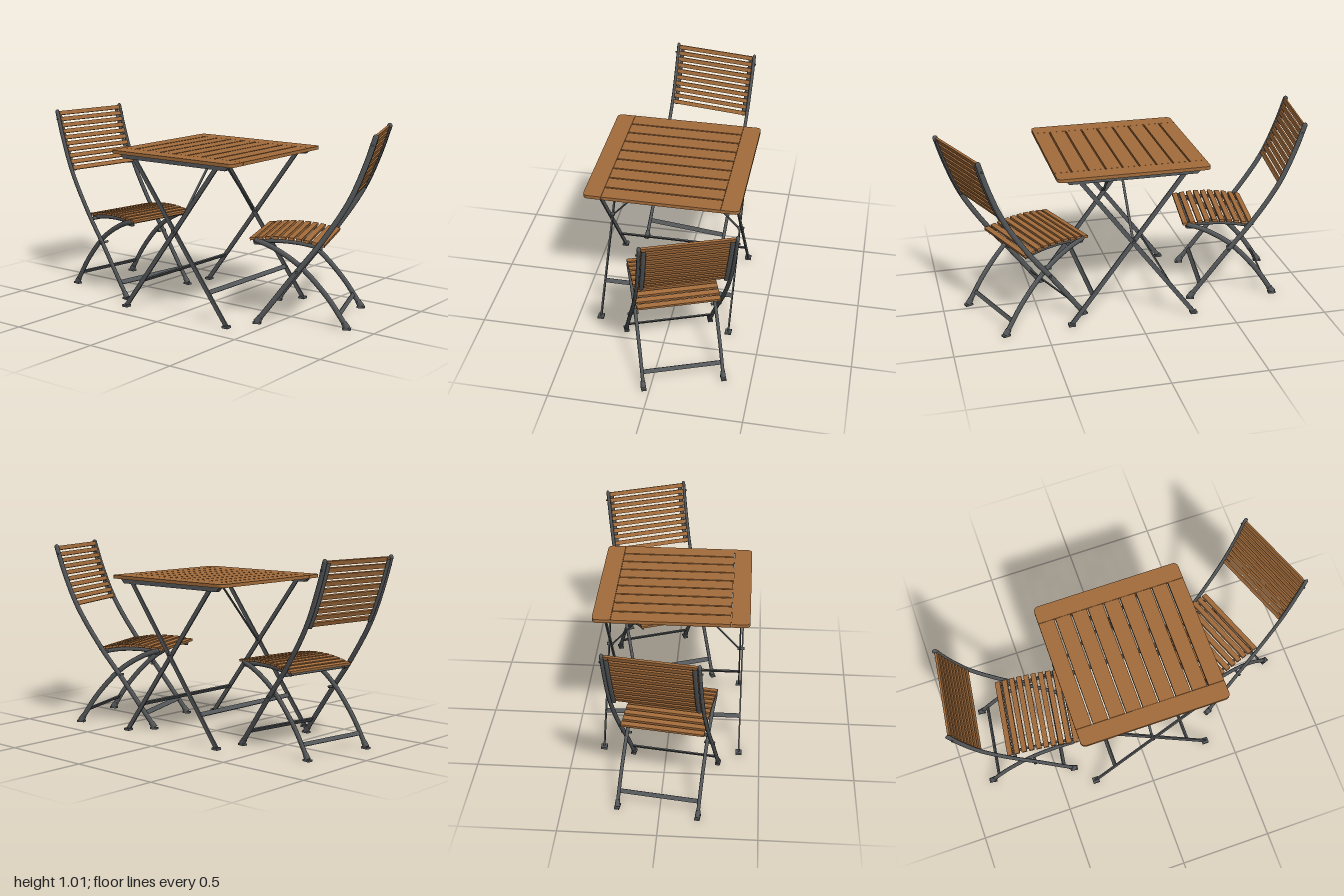
import * as THREE from 'three';

const wood = new THREE.MeshStandardMaterial({ color: 0xa36c3b });
wood.name = 'warm wood';
const metal = new THREE.MeshStandardMaterial({ color: 0x55585a });
metal.name = 'grey metal';

function add(parent, name, geometry, material, x = 0, y = 0, z = 0, tilt = 0) {
  const mesh = new THREE.Mesh(geometry, material);
  mesh.name = name;
  mesh.position.set(x, y, z);
  mesh.rotation.z = tilt;
  parent.add(mesh);
  return mesh;
}

const box = (w, h, d) => new THREE.BoxGeometry(w, h, d);
const curveOf = (points) => new THREE.CatmullRomCurve3(points.map(([x, y]) => new THREE.Vector3(x, y, 0)));

// Parameter at which a curve that falls in y reaches a given height
function atHeight(curve, y) {
  let lo = 0, hi = 1;
  for (let i = 0; i < 30; i++) {
    const mid = (lo + hi) / 2;
    if (curve.getPoint(mid).y > y) lo = mid; else hi = mid;
  }
  const p = curve.getPoint(lo), t = curve.getTangent(lo);
  return { x: p.x, y: p.y, tilt: Math.atan2(t.y, t.x) + Math.PI / 2 };
}

// Flattened tube that follows a curve in the xy plane
const ovalTube = (curve, r, flat) => new THREE.TubeGeometry(curve, 32, r, 12).scale(1, 1, flat);

function cylinderZ(r, length) {
  return new THREE.CylinderGeometry(r, r, length, 12).rotateX(Math.PI / 2);
}

// Bar between two points
function bar(parent, name, a, b, w, d) {
  const from = new THREE.Vector3(...a), dir = new THREE.Vector3(...b).sub(from);
  const mesh = add(parent, name, box(w, dir.length(), d), metal);
  mesh.position.copy(from).addScaledVector(dir, 0.5);
  mesh.quaternion.setFromUnitVectors(new THREE.Vector3(0, 1, 0), dir.normalize());
  return mesh;
}

// Folding chair: the top of the back is at x = 0 and the seat faces +x
function createChair(name) {
  const chair = new THREE.Group();
  chair.name = name;
  const post = curveOf([[0, 0.99], [0.045, 0.85], [0.125, 0.66], [0.265, 0.44], [0.40, 0.265], [0.53, 0.09], [0.588, 0.012]]);
  const leg = curveOf([[0.60, 0.435], [0.52, 0.405], [0.38, 0.32], [0.23, 0.165], [0.125, 0.012]]);
  const seat = curveOf([[0.26, 0.428], [0.38, 0.449], [0.51, 0.453], [0.62, 0.441]]);
  const strip = curveOf([0.985, 0.9, 0.82, 0.74, 0.66].map((y) => [atHeight(post, y).x - 0.008, y]));

  for (const side of [-1, 1]) {
    // Crossing frames with end caps and feet
    for (const [part, curve, z] of [['backPost', post, 0.23], ['seatLeg', leg, 0.208]]) {
      add(chair, part, ovalTube(curve, 0.014, 0.65), metal, 0, 0, side * z);
      const top = curve.getPoint(0);
      add(chair, part + 'Cap', new THREE.SphereGeometry(0.0142, 12, 8).scale(1, 1, 0.65), metal, top.x, top.y, side * z);
      const low = atHeight(curve, 0.022);
      add(chair, part + 'Foot', new THREE.CylinderGeometry(0.016, 0.019, 0.034, 12).scale(1, 1, 0.72),
        metal, low.x, low.y, side * z, low.tilt);
      add(chair, part + 'Pad', box(0.042, 0.01, 0.026), metal, curve.getPoint(1).x, 0.005, side * z);
    }
    // Flat strips carrying the slats, seat rails and rivets
    add(chair, 'backStrip', new THREE.TubeGeometry(strip, 16, 0.006, 8).scale(1, 1, 2), metal, 0, 0, side * 0.208);
    add(chair, 'seatRail', ovalTube(seat, 0.011, 0.6), metal, 0, -0.02, side * 0.188);
    const cross = atHeight(post, 0.288);
    add(chair, 'pivot', cylinderZ(0.007, 0.055), metal, cross.x, cross.y, side * 0.218);
    const rivet = atHeight(post, 0.95);
    add(chair, 'rivet', cylinderZ(0.005, 0.03), metal, rivet.x, rivet.y, side * 0.23);
    add(chair, 'seatBracket', box(0.03, 0.035, 0.012), metal, 0.595, 0.428, side * 0.198);
  }

  // Back slats
  for (let i = 0; i < 10; i++) {
    const p = atHeight(post, 0.982 - i * 0.0338);
    add(chair, 'backSlat', box(0.012, 0.023, 0.442), wood, p.x + 0.004, p.y, 0, p.tilt);
  }

  // Arched seat slats
  for (let i = 0; i < 10; i++) {
    const p = seat.getPointAt(i / 9), t = seat.getTangentAt(i / 9);
    add(chair, 'seatSlat', box(0.028, 0.014, 0.425), wood, p.x, p.y, 0, Math.atan2(t.y, t.x));
  }

  // Cross bars
  const low = atHeight(post, 0.085), rear = atHeight(leg, 0.075);
  add(chair, 'frontStretcher', box(0.007, 0.026, 0.46), metal, low.x, low.y, 0, low.tilt);
  add(chair, 'rearStretcher', box(0.007, 0.022, 0.416), metal, rear.x, rear.y, 0, rear.tilt);
  add(chair, 'seatSupport', cylinderZ(0.009, 0.46), metal, 0.285, 0.408, 0);
  add(chair, 'seatFrontBar', cylinderZ(0.006, 0.4), metal, 0.595, 0.425, 0);
  return chair;
}

// Board with two rounded outer corners, lying flat with its outer edge at +z
function endBoard(width, depth, height, r) {
  const w = width / 2;
  const shape = new THREE.Shape();
  shape.moveTo(-w, 0);
  shape.lineTo(w, 0);
  shape.lineTo(w, depth - r);
  shape.quadraticCurveTo(w, depth, w - r, depth);
  shape.lineTo(-w + r, depth);
  shape.quadraticCurveTo(-w, depth, -w, depth - r);
  shape.closePath();
  return new THREE.ExtrudeGeometry(shape, { depth: height, bevelEnabled: false, curveSegments: 6 }).rotateX(Math.PI / 2);
}

// Folding table centred on its own x and z
function createTable() {
  const table = new THREE.Group();
  table.name = 'table';
  const top = 0.854, thick = 0.018;

  // Slatted top with two end boards
  const pitch = 0.8 / 9;
  for (let i = 0; i < 9; i++) {
    const outer = i === 0 || i === 8;
    const w = pitch - (outer ? 0.004 : 0.008);
    const x = (i - 4) * pitch + (i === 0 ? -0.002 : i === 8 ? 0.002 : 0);
    add(table, 'topSlat', box(w, thick, 0.607), wood, x, top - thick / 2, 0);
  }

  for (const side of [-1, 1]) {
    const board = add(table, 'endBoard', endBoard(0.8, 0.095, thick, 0.03), wood, 0, top, side * 0.305);
    if (side < 0) board.rotation.y = Math.PI;

    // Under-top rail with sloping ends
    const rail = new THREE.Shape([[-0.36, 0.836], [-0.335, 0.811], [0.335, 0.811], [0.36, 0.836]]
      .map(([x, y]) => new THREE.Vector2(x, y)));
    add(table, 'topRail', new THREE.ExtrudeGeometry(rail, { depth: 0.028, bevelEnabled: false }),
      metal, 0, 0, side * 0.358 - 0.014);

    // Crossed legs and feet
    for (const [dir, z] of [[-1, 0.365], [1, 0.352]]) {
      bar(table, 'leg', [dir * -0.285, 0.83, side * z], [dir * 0.332, 0.008, side * z], 0.024, 0.008);
      add(table, 'foot', box(0.036, 0.012, 0.034), metal, dir * 0.333, 0.006, side * z);
    }
    add(table, 'pivot', cylinderZ(0.009, 0.036), metal, 0, 0.46, side * 0.358);

    // Thin braces from the leg pivots to the middle of the top
    bar(table, 'brace', [0, 0.46, side * 0.345], [0, 0.828, side * 0.012], 0.013, 0.005);
  }

  // Lower stretchers and the bar under the slats
  for (const side of [-1, 1]) {
    add(table, 'stretcher', box(0.008, 0.024, side < 0 ? 0.722 : 0.7), metal,
      side * 0.216, 0.165, 0, side * Math.atan2(0.617, 0.822));
  }
  add(table, 'middleBar', box(0.66, 0.012, 0.022), metal, 0, 0.83, 0);
  return table;
}

export function createModel() {
  const model = new THREE.Group();
  model.name = 'bistroSet';

  const table = createTable();
  table.position.set(0.025, 0, 0.025);

  const leftChair = createChair('leftChair');
  leftChair.position.set(0.903, 0, -0.207);
  leftChair.rotation.y = Math.PI + 0.364;

  const rightChair = createChair('rightChair');
  rightChair.position.set(-0.953, 0, -0.028);
  rightChair.rotation.y = -0.14;

  model.add(table, leftChair, rightChair);
  return model;
}
